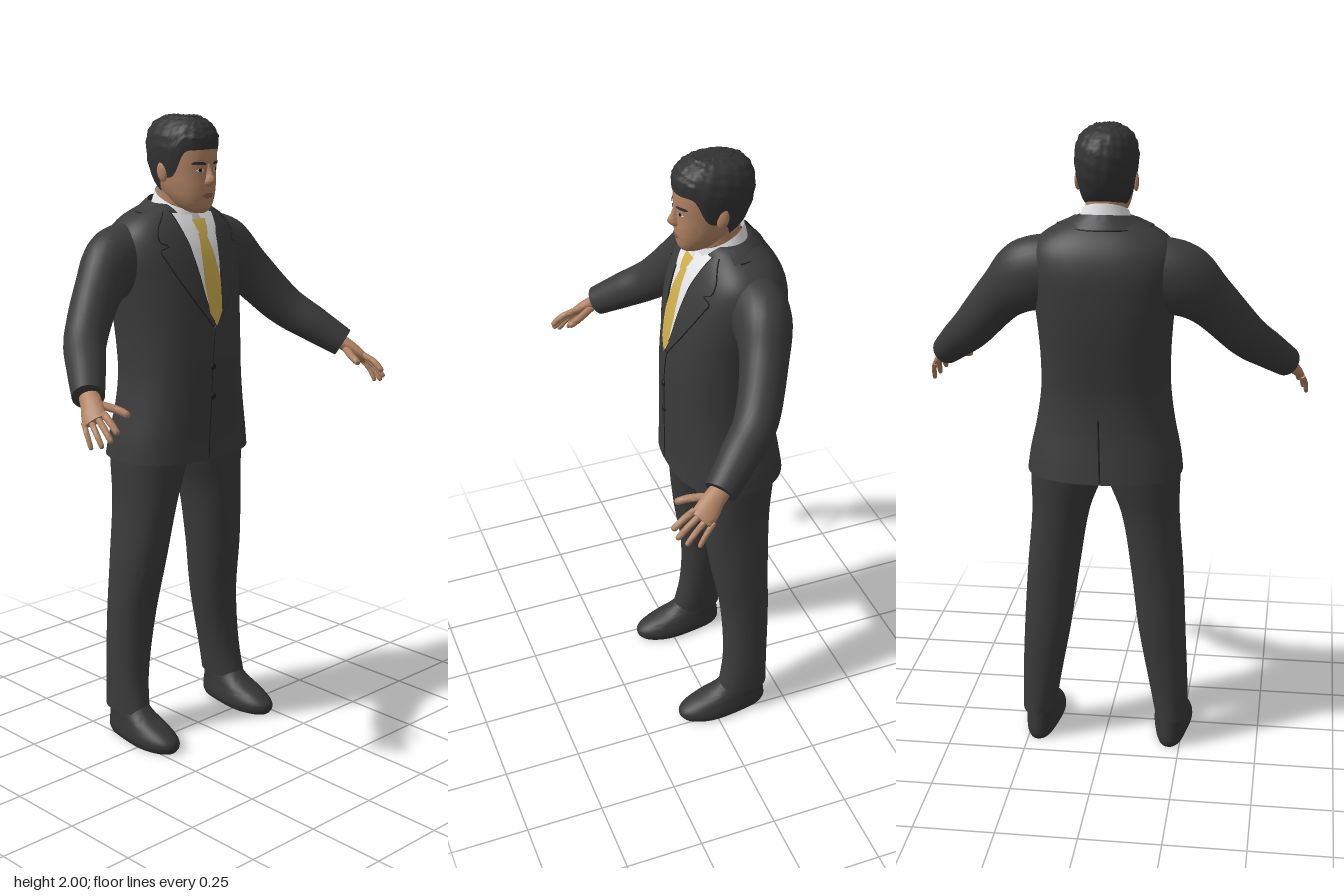
import * as THREE from 'three';
import { toCreasedNormals } from 'three/addons/utils/BufferGeometryUtils.js';

const TAU = Math.PI * 2;
const paint = (name, color) => {
  const m = new THREE.MeshStandardMaterial({ color, side: THREE.DoubleSide });
  m.name = name;
  return m;
};

export function createModel() {
  const model = new THREE.Group();
  model.name = 'manInSuit';
  const suit = paint('suitCharcoal', 0x3b3b3c), seam = paint('seamBlack', 0x1d1d1e);
  const hairMat = paint('hairBlack', 0x333334), skin = paint('skin', 0xb08363);
  const shirt = paint('shirtWhite', 0xe4e4e6), gold = paint('tieGold', 0xcdae4c);
  const lipMat = paint('lips', 0x8f5f4c), shoeMat = paint('shoeBlack', 0x353536);

  const add = (name, mat, geo) => {
    const mesh = new THREE.Mesh(geo, mat);
    mesh.name = name;
    model.add(mesh);
    return mesh;
  };
  // Grid surface from a point rule f(i, j)
  const sheet = (name, mat, nu, nv, f) => {
    const pos = [];
    for (let j = 0; j < nv; j++) for (let i = 0; i < nu; i++) {
      const a = f(i, j), b = f(i + 1, j), c = f(i, j + 1), d = f(i + 1, j + 1);
      pos.push(...a, ...c, ...b, ...b, ...c, ...d);
    }
    const geo = new THREE.BufferGeometry();
    geo.setAttribute('position', new THREE.Float32BufferAttribute(pos, 3));
    return add(name, mat, toCreasedNormals(geo, 0.9));
  };
  // Smooth interpolation of rows of numbers
  const spline = (rows, times) => {
    const s = new THREE.CubicInterpolant(times, rows.flat(), rows[0].length);
    return t => [...s.evaluate(t)];
  };
  const byHeight = rows => spline(rows, rows.map(r => r[0]));
  const power = (v, n) => Math.sign(v) * Math.abs(v) ** (2 / n);
  // Horizontal section: [y, centre x, half width, front z, back z]
  const section = ([y, cx, rx, zf, zb], n, a, k = 1) =>
    [cx + k * rx * power(Math.cos(a), n), y, (zf + zb) / 2 + k * (zf - zb) / 2 * power(Math.sin(a), n)];
  const stack = (name, mat, rows, n = 2.3, nv = 36, nu = 40) => {
    const s = byHeight(rows), y0 = rows[0][0], y1 = rows[rows.length - 1][0];
    return sheet(name, mat, nu, nv + 2, (i, j) => {
      const t = Math.min(1, Math.max(0, (j - 1) / nv));
      return section(s(y0 + (y1 - y0) * t), n, TAU * (i % nu) / nu, j === 0 || j === nv + 2 ? 0 : 1);
    });
  };
  // Limb along a path: rows of [x, y, z, radius along ref, other radius]
  const limb = (name, mat, rows, ref, nv = 28, nu = 20) => {
    const s = spline(rows, rows.map((r, i) => i)), end = rows.length - 1;
    const rings = Array.from({ length: nv + 1 }, (_, j) => {
      const t = end * j / nv, p = s(t);
      const dir = new THREE.Vector3(...s(Math.min(end, t + 0.02))).sub(new THREE.Vector3(...s(Math.max(0, t - 0.02)))).normalize();
      const u = ref.clone().addScaledVector(dir, -ref.dot(dir)).normalize();
      return { p, u, v: u.clone().cross(dir) };
    });
    return sheet(name, mat, nu, nv + 2, (i, j) => {
      const { p, u, v } = rings[Math.min(nv, Math.max(0, j - 1))];
      const k = j === 0 || j === nv + 2 ? 0 : 1, a = TAU * (i % nu) / nu;
      return new THREE.Vector3(...p).addScaledVector(u, k * p[3] * Math.cos(a)).addScaledVector(v, k * p[4] * Math.sin(a)).toArray();
    });
  };
  // Depth of a stacked body at (x, y), for laying details on it
  const depth = (s, n, side) => (x, y) => {
    const [, cx, rx, zf, zb] = s(y);
    return (zf + zb) / 2 + side * (zf - zb) / 2 * (1 - Math.min(1, Math.abs(x - cx) / rx) ** n) ** (1 / n);
  };
  // Thin panel on a front surface: rows of [y, x0, x1]; side -1 mirrors it
  const panel = (name, mat, rows, z, off, side = 1) => sheet(name, mat, 10, (rows.length - 1) * 4, (i, j) => {
    const k = Math.min(rows.length - 2, Math.floor(j / 4)), q = j / 4 - k;
    const [y, l, r] = rows[k].map((v, c) => v + (rows[k + 1][c] - v) * q);
    const u = side > 0 ? 1 - i / 10 : i / 10, x = side * (l + (r - l) * u);
    return [x, y, z(x, y) + off];
  });
  const line = (name, pts, z, off, r = 0.0022) => {
    const flat = new THREE.SplineCurve(pts.map(p => new THREE.Vector2(...p))).getPoints(36);
    const path = new THREE.CatmullRomCurve3(flat.map(p => new THREE.Vector3(p.x, p.y, z(p.x, p.y) + off)));
    add(name, seam, new THREE.TubeGeometry(path, 48, r, 5));
  };

  // Jacket body
  const torsoRows = [[0.94, 0, 0.243, 0.08, -0.28], [1.0, 0, 0.235, 0.078, -0.27], [1.1, 0, 0.214, 0.08, -0.255],
    [1.2, 0, 0.201, 0.081, -0.251], [1.3, 0, 0.2, 0.08, -0.262], [1.4, 0, 0.206, 0.072, -0.275],
    [1.5, 0, 0.217, 0.056, -0.281], [1.6, 0, 0.226, 0.028, -0.276], [1.66, 0, 0.21, 0.0, -0.255],
    [1.7, 0, 0.165, -0.025, -0.225], [1.735, 0, 0.09, -0.05, -0.185]];
  stack('jacketBody', suit, torsoRows, 2.4, 60, 56);
  const chest = depth(byHeight(torsoRows), 2.4, 1), back = depth(byHeight(torsoRows), 2.4, -1);
  line('jacketFrontSeam', [[0, 1.36], [-0.014, 1.25], [-0.02, 1.1], [-0.028, 0.945]], chest, 0);
  line('backVent', [[0.004, 1.14], [0, 1.04], [-0.004, 0.945]], back, 0, 0.003);
  for (const y of [1.24, 1.145]) {
    const b = add('jacketButton', seam, new THREE.SphereGeometry(0.011, 14, 10));
    b.scale.z = 0.45;
    b.position.set(-0.014, y, chest(-0.014, y) + 0.003);
  }

  // Shirt front and tie
  panel('shirtFront', shirt, [[1.36, -0.001, 0.001], [1.45, -0.032, 0.032], [1.6, -0.057, 0.057], [1.66, -0.07, 0.07], [1.71, -0.078, 0.078]], chest, 0.003);
  panel('tieBlade', gold, [[1.37, -0.001, 0.001], [1.41, -0.026, 0.026], [1.5, -0.034, 0.034], [1.58, -0.027, 0.027], [1.65, -0.015, 0.015]], chest, 0.011);
  panel('tieKnot', gold, [[1.642, -0.013, 0.013], [1.665, -0.022, 0.022], [1.69, -0.027, 0.027]], chest, 0.019);

  // Collars, raised towards the back
  const collar = (name, mat, a0, a1, low, high) => sheet(name, mat, 40, 4, (i, j) => {
    const a = a0 + (a1 - a0) * i / 40;
    const [base, tilt, rx, rz, zc] = low.map((v, k) => v + (high[k] - v) * j / 4);
    return [rx * Math.cos(a), base - tilt * Math.sin(a), zc + rz * Math.sin(a)];
  });
  collar('shirtCollar', shirt, 0, TAU, [1.7, 0.035, 0.088, 0.085, -0.09], [1.75, 0.033, 0.07, 0.074, -0.09]);
  collar('jacketCollar', suit, Math.PI * 0.95, Math.PI * 2.05, [1.71, 0, 0.145, 0.12, -0.1], [1.735, 0.018, 0.093, 0.092, -0.095]);
  const edge = Array.from({ length: 21 }, (_, i) => Math.PI * (1 + i / 20))
    .map(a => new THREE.Vector3(0.145 * Math.cos(a), 1.711, -0.1 + 0.12 * Math.sin(a)));
  add('jacketCollarSeam', seam, new THREE.TubeGeometry(new THREE.CatmullRomCurve3(edge), 40, 0.0022, 5));

  const lapel = [[1.365, 0.001, 0.01], [1.45, 0.031, 0.075], [1.52, 0.044, 0.118], [1.575, 0.054, 0.146], [1.605, 0.058, 0.156],
    [1.618, 0.06, 0.128], [1.632, 0.063, 0.152], [1.665, 0.071, 0.146], [1.7, 0.078, 0.115], [1.715, 0.082, 0.1]];
  const armPath = [[0.12, 1.59, -0.135, 0.1, 0.09], [0.23, 1.555, -0.135, 0.112, 0.088], [0.32, 1.485, -0.105, 0.082, 0.072],
    [0.425, 1.365, -0.04, 0.068, 0.065], [0.49, 1.3, 0.04, 0.059, 0.058], [0.55, 1.24, 0.12, 0.048, 0.048]];
  const up = new THREE.Vector3(0, 1, 0);

  for (const s of [1, -1]) {
    const side = s > 0 ? 'left' : 'right';
    const flip = rows => rows.map(([x, ...rest]) => [s * x, ...rest]);
    // Lapel and shirt collar wing
    panel(side + 'Lapel', suit, lapel, chest, 0.007, s);
    line(side + 'LapelEdge', lapel.map(r => [s * r[2], r[0]]), chest, 0.005);
    line(side + 'LapelInnerEdge', lapel.map(r => [s * r[1], r[0]]), chest, 0.006, 0.0018);
    panel(side + 'CollarWing', shirt, [[1.632, 0.046, 0.05], [1.66, 0.03, 0.066], [1.705, 0.012, 0.077]], chest, 0.013, s);
    // Sleeve
    limb(side + 'Sleeve', suit, flip(armPath), up, 40, 28);
    // Hand: palm, four fingers and thumb
    const across = new THREE.Vector3(s * 0.039, -0.027, -0.047);
    limb(side + 'Palm', skin, flip([[0.54, 1.25, 0.105, 0.03, 0.024], [0.56, 1.225, 0.145, 0.033, 0.021],
      [0.578, 1.2, 0.175, 0.037, 0.017], [0.587, 1.188, 0.195, 0.034, 0.011]]), across, 16);
    const finger = (name, a, m, b, r) => limb(side + name, skin, flip([[...a, r, r], [...m, r, r],
      [...b.map((v, i) => v + (m[i] - v) * 0.15), r * 0.85, r * 0.85], [...b, r * 0.35, r * 0.35]]), across, 12, 10);
    [[0.573, 1.163, 0.275], [0.59, 1.14, 0.268], [0.605, 1.122, 0.245], [0.616, 1.113, 0.21]].forEach((tip, i) => {
      const root = [0.563 + 0.013 * i, 1.207 - 0.009 * i, 0.203 - 0.0145 * i];
      finger('Finger', root, root.map((v, k) => (v + tip[k]) / 2 + [0.003, 0.005, 0.002][k]), tip, 0.0105 - 0.0008 * i);
    });
    finger('Thumb', [0.54, 1.222, 0.145], [0.511, 1.21, 0.195], [0.496, 1.196, 0.238], 0.012);
    // Trouser leg
    stack(side + 'TrouserLeg', suit, [[0.095, s * 0.219, 0.053, -0.02, -0.19], [0.2, s * 0.209, 0.061, -0.042, -0.192], [0.4, s * 0.186, 0.075, -0.043, -0.2],
      [0.6, s * 0.167, 0.083, -0.01, -0.202], [0.8, s * 0.142, 0.092, 0.015, -0.212], [0.94, s * 0.118, 0.117, 0.025, -0.23], [1.0, s * 0.115, 0.115, 0.03, -0.235]], 2.2);
    // Shoe, narrower at the heel
    const shoe = stack(side + 'Shoe', shoeMat, [[0, s * 0.216, 0.058, 0.112, -0.18], [0.015, s * 0.216, 0.065, 0.122, -0.187], [0.035, s * 0.216, 0.065, 0.118, -0.187],
      [0.06, s * 0.216, 0.06, 0.08, -0.184], [0.09, s * 0.216, 0.054, 0.01, -0.18], [0.12, s * 0.216, 0.046, -0.03, -0.175]], 2.2, 20);
    const p = shoe.geometry.attributes.position;
    for (let i = 0; i < p.count; i++) {
      const k = THREE.MathUtils.smoothstep(p.getZ(i), -0.12, 0.04);
      p.setX(i, s * 0.216 + (p.getX(i) - s * 0.216) * (0.8 + 0.2 * k));
    }
  }

  // Neck and head
  stack('neck', skin, [[1.64, 0, 0.064, -0.03, -0.16], [1.71, 0, 0.061, -0.025, -0.158], [1.79, 0, 0.062, -0.015, -0.152]], 2, 8);
  const headRows = [[1.71, 0, 0.02, 0.022, -0.03], [1.72, 0, 0.038, 0.034, -0.06], [1.75, 0, 0.061, 0.043, -0.105],
    [1.79, 0, 0.075, 0.047, -0.15], [1.83, 0, 0.081, 0.046, -0.168], [1.87, 0, 0.084, 0.048, -0.177], [1.91, 0, 0.085, 0.045, -0.18],
    [1.95, 0, 0.077, 0.033, -0.17], [1.975, 0, 0.059, 0.012, -0.15], [1.988, 0, 0.035, -0.015, -0.12]];
  stack('head', skin, headRows, 2.2, 40);
  const skull = byHeight(headRows), face = depth(skull, 2.2, 1);

  // Hair shell: hairline drops from forehead to sideburns and nape
  const hairline = spline([[1.765], [1.775], [1.815], [1.82], [1.835], [1.893], [1.905]], [-1, -0.5, -0.1, 0.2, 0.36, 0.62, 1]);
  const nu = 64, nv = 28;
  sheet('hair', hairMat, nu, nv + 1, (i, j) => {
    const a = TAU * (i % nu) / nu, t = Math.min(1, j / nv), b = hairline(Math.sin(a))[0];
    const y = b + (1.988 - b) * (1 - (1 - t) ** 1.8);
    const wave = 0.0022 * Math.sin(7 * a + 23 * t) * Math.sin(11 * a - 17 * t + 1) * Math.min(1, 4 * t);
    const lift = 0.004 + 0.007 * Math.min(1, t * 4) + wave;
    const q = section(skull(y), 2.2, a, j > nv ? 0 : 1 + lift / 0.09);
    return [q[0], q[1] + 0.012 * t + (j > nv ? 0 : wave), q[2]];
  });

  // Face details
  stack('nose', skin, [[1.793, 0, 0.008, 0.052, 0.02], [1.802, 0, 0.016, 0.064, 0.02], [1.814, 0, 0.013, 0.071, 0.02],
    [1.835, 0, 0.008, 0.06, 0.02], [1.862, 0, 0.007, 0.05, 0.02]], 2, 14, 16);
  panel('mouth', lipMat, [[1.757, -0.01, 0.01], [1.765, -0.026, 0.026], [1.773, -0.011, 0.011]], face, 0.003);
  for (const s of [1, -1]) {
    panel('eyebrow', hairMat, [[1.859, 0.015, 0.05], [1.863, 0.014, 0.056], [1.868, 0.024, 0.05]], face, 0.003, s);
    panel('eyeWhite', shirt, [[1.838, 0.026, 0.036], [1.842, 0.019, 0.044], [1.847, 0.025, 0.037]], face, 0.002, s);
    panel('iris', seam, [[1.838, 0.028, 0.034], [1.8425, 0.026, 0.037], [1.848, 0.027, 0.036]], face, 0.003, s);
    const ear = add('ear', skin, new THREE.SphereGeometry(1, 16, 12));
    ear.scale.set(0.009, 0.031, 0.018);
    ear.position.set(s * 0.087, 1.835, -0.067);
    ear.rotation.set(-0.15, s * -0.3, 0);
  }
  return model;
}
